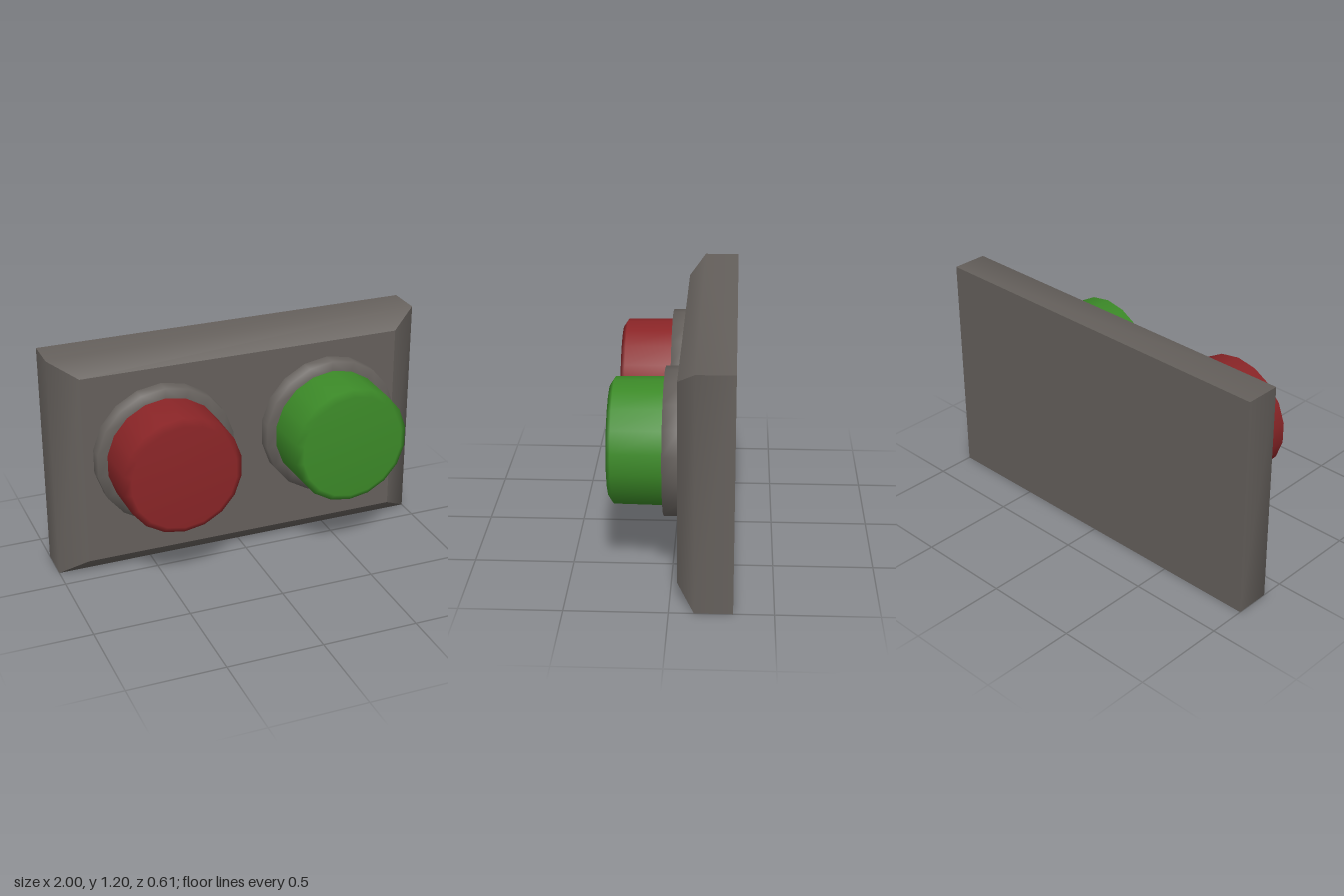
import * as THREE from 'three';

const material = (name, color) => {
  const m = new THREE.MeshStandardMaterial({ color });
  m.name = name;
  return m;
};

// Round part turned about the z axis from [radius, z] points
function turned(name, profile, mat) {
  const points = profile.map(([r, z]) => new THREE.Vector2(r, z));
  const geometry = new THREE.LatheGeometry(points, 18).rotateX(Math.PI / 2);
  const mesh = new THREE.Mesh(geometry, mat);
  mesh.name = name;
  return mesh;
}

// Box whose front edges are bevelled
function bevelledPanel(mat) {
  const w = 2, h = 1.195, back = -0.305, shoulder = -0.12, front = -0.035;
  const geometry = new THREE.BoxGeometry(w, h, 2, 1, 1, 2);
  const p = geometry.attributes.position;
  for (let i = 0; i < p.count; i++) {
    const z = p.getZ(i);
    if (z > 0.5) {
      p.setXYZ(i, Math.sign(p.getX(i)) * 0.86, Math.sign(p.getY(i)) * 0.512, front);
    } else {
      p.setZ(i, z < -0.5 ? back : shoulder);
    }
  }
  geometry.computeVertexNormals();
  geometry.translate(0, h / 2, 0);
  const mesh = new THREE.Mesh(geometry, mat);
  mesh.name = 'panel';
  return mesh;
}

export function createModel() {
  const grey = material('warm grey', 0x65605c);
  const red = material('red', 0x8a2527);
  const green = material('green', 0x3c8a28);

  const model = new THREE.Group();
  model.name = 'twoButtonPanel';
  model.add(bevelledPanel(grey));

  // Each push button sits in a flat collar
  for (const [side, x, mat] of [['right', -0.446, red], ['left', 0.466, green]]) {
    const button = new THREE.Group();
    button.name = side + 'Button';
    button.position.set(x, 0.656, 0);
    button.add(
      turned('collar', [[0.368, -0.04], [0.368, 0.04], [0.3, 0.04]], grey),
      turned('cap', [[0.316, 0.03], [0.312, 0.285], [0.277, 0.308], [0, 0.308]], mat)
    );
    model.add(button);
  }
  return model;
}
